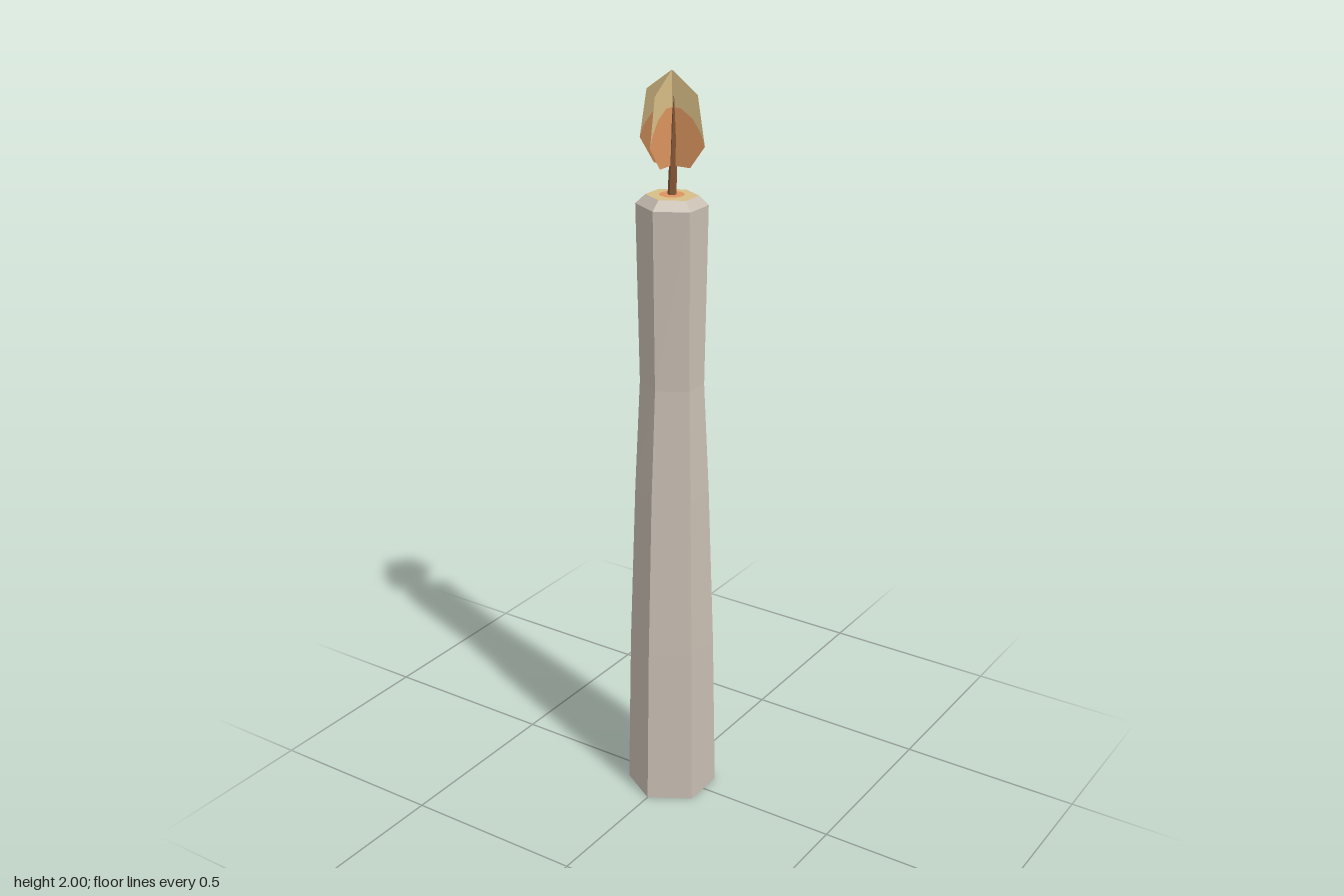
import * as THREE from 'three';

const material = (name, color, side = THREE.FrontSide) =>
  Object.assign(new THREE.MeshStandardMaterial({ color, flatShading: true, side }), { name });

// Flat faces joining six-sided rings; a ring is { y, x, corner, tip, dz }
function hexLoft(rings) {
  const points = rings.map(({ y, x, corner, tip, dz = 0 }) => [
    [0, tip], [x, corner], [x, -corner], [0, -tip], [-x, -corner], [-x, corner],
  ].map(([px, pz]) => [px, y, pz + dz]));
  const pos = [];
  for (let r = 0; r < rings.length - 1; r++) {
    for (let i = 0; i < 6; i++) {
      const j = (i + 1) % 6;
      const [a, b, c, d] = [points[r][i], points[r][j], points[r + 1][j], points[r + 1][i]];
      pos.push(...a, ...b, ...c, ...a, ...c, ...d);
    }
  }
  const geo = new THREE.BufferGeometry();
  geo.setAttribute('position', new THREE.Float32BufferAttribute(pos, 3));
  geo.computeVertexNormals();
  return geo;
}

export function createModel() {
  const wax = material('wax', 0xc8beb2, THREE.DoubleSide);
  const paleFlame = material('pale flame', 0xd8be88, THREE.DoubleSide);
  const orangeGlow = material('orange glow', 0xdc955f, THREE.DoubleSide);
  const wickBrown = material('wick brown', 0x855736);

  const model = new THREE.Group();
  model.name = 'candle';
  const add = (parent, name, geo, mat) => {
    const mesh = new THREE.Mesh(geo, mat);
    mesh.name = name;
    parent.add(mesh);
    return mesh;
  };

  // Hollow tapered body, open underneath, with a bevelled rim
  const top = { y: 1.693, x: 0.06, corner: 0.03, tip: 0.062, dz: -0.002 };
  add(model, 'candleBody', hexLoft([
    { y: 0, x: 0.106, corner: 0.06, tip: 0.123 },
    { y: 0.45, x: 0.099, corner: 0.054, tip: 0.113 },
    { y: 0.9, x: 0.087, corner: 0.044, tip: 0.096 },
    { y: 1.2, x: 0.076, corner: 0.035, tip: 0.078 },
    { y: 1.67, x: 0.081, corner: 0.042, tip: 0.085 },
    top,
  ]), wax);

  // Melted top with the glow around the wick
  add(model, 'meltedTop', hexLoft([top, { ...top, x: 0, corner: 0, tip: 0 }]), paleFlame);
  const glow = add(model, 'topGlow', new THREE.CircleGeometry(0.032, 24), orangeGlow);
  glow.rotation.x = -Math.PI / 2;
  glow.position.y = top.y + 0.002;

  // Leaning six-sided wick
  const wick = new THREE.CylinderGeometry(0.008, 0.011, 0.255, 6);
  const p = wick.attributes.position;
  for (let i = 0; i < p.count; i++) {
    const t = p.getY(i) / 0.255 + 0.5;
    p.setX(i, p.getX(i) + 0.006 * t);
    p.setZ(i, p.getZ(i) - 0.008 * t);
  }
  wick.computeVertexNormals();
  add(model, 'wick', wick, wickBrown).position.y = 1.69 + 0.1275;

  // Flame: two crossed flat leaves, each split into orange heart and pale tip
  const mirrored = (half) => [...half, ...half.slice().reverse().map(([x, y]) => [-x, y])];
  const plate = (pts) =>
    new THREE.ShapeGeometry(new THREE.Shape(pts.map(([x, y]) => new THREE.Vector2(x, y))));
  const arc = [[0.095, 1.825], [0.084, 1.855], [0.06, 1.888], [0.025, 1.91]];
  const heart = plate(mirrored([[0.053, 1.767], ...arc]));
  const tip = plate([...mirrored(arc), [-0.074, 1.947], [0, 2], [0.074, 1.947]]);
  for (const turn of [0, Math.PI / 2]) {
    const leaf = new THREE.Group();
    leaf.name = 'flameLeaf';
    add(leaf, 'flameHeart', heart, orangeGlow);
    add(leaf, 'flameTip', tip, paleFlame);
    leaf.rotation.y = turn;
    model.add(leaf);
  }
  return model;
}
